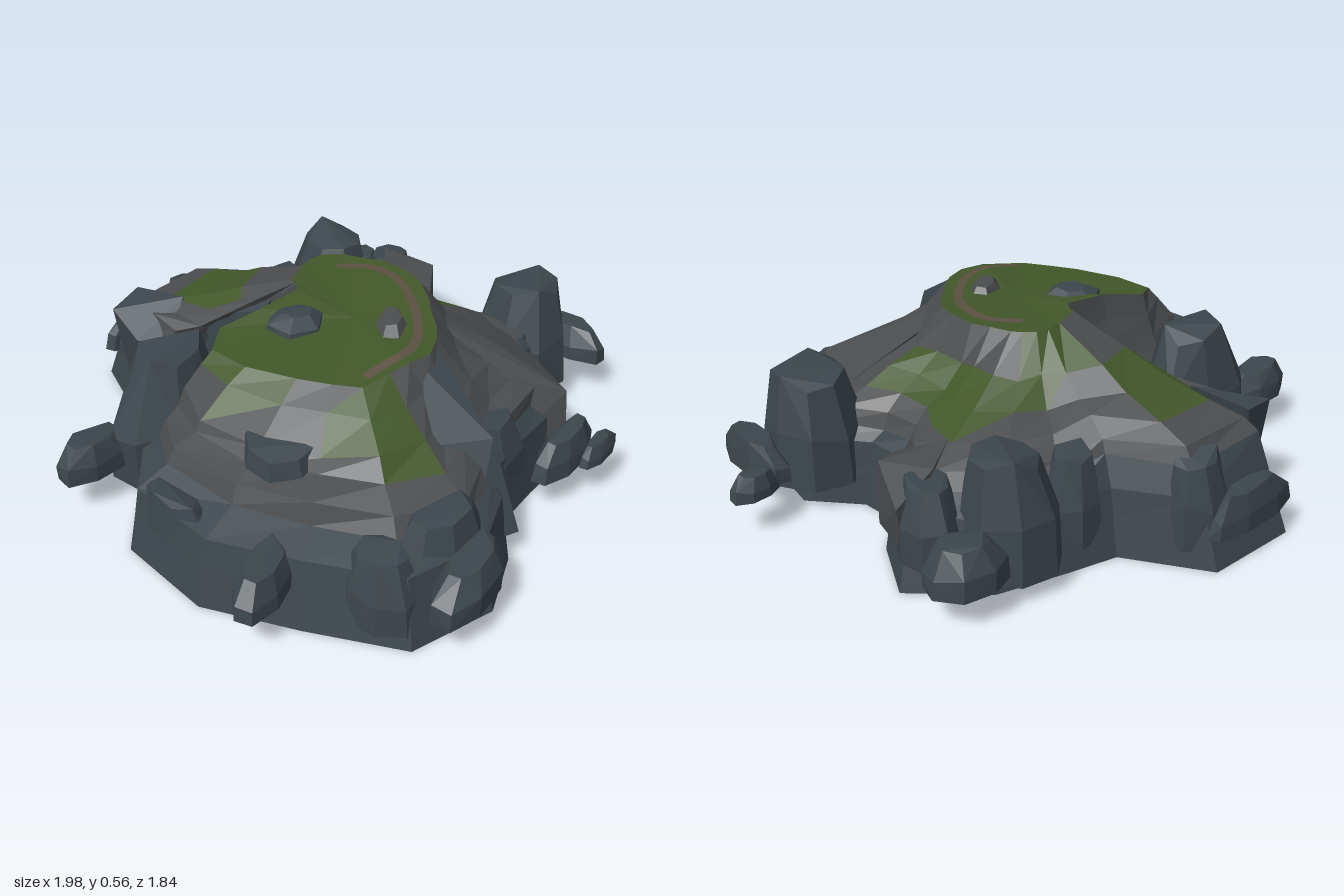
import * as THREE from 'three';
import { ConvexGeometry } from 'three/addons/geometries/ConvexGeometry.js';

const mat = (color) => new THREE.MeshStandardMaterial({ color, flatShading: true, roughness: 1, side: THREE.DoubleSide });
const slate = mat(0x3c464c), stone = mat(0x4b4d4f), grass = mat(0x42572a), earth = mat(0x5c5142);
const V = (x, y, z) => new THREE.Vector3(x, y, z);

let seed = 7;
const rnd = () => (seed = (seed * 16807) % 2147483647) / 2147483647;

function addMesh(group, name, geometry, material) {
  const m = new THREE.Mesh(geometry, material);
  m.name = name;
  group.add(m);
  return m;
}

// Island sectors, clockwise from above: shore x, z and plateau rim x, z
const sectors = [
  [-0.18, -0.9, -0.02, -0.16], [0.14, -0.88, 0.07, -0.19], [0.28, -0.62, 0.13, -0.2],
  [0.45, -0.57, 0.17, -0.19], [0.66, -0.5, 0.2, -0.16], [0.84, -0.3, 0.22, -0.13],
  [0.72, -0.1, 0.24, -0.06], [0.6, 0, 0.26, 0], [0.6, 0.14, 0.25, 0.1],
  [0.72, 0.3, 0.22, 0.18], [0.68, 0.46, 0.16, 0.25], [0.49, 0.49, 0.1, 0.3],
  [0.32, 0.69, 0.04, 0.36], [0.12, 0.69, -0.02, 0.4], [-0.1, 0.7, -0.1, 0.43],
  [-0.2, 0.8, -0.18, 0.41], [-0.42, 0.88, -0.25, 0.39], [-0.69, 0.79, -0.34, 0.36],
  [-0.81, 0.5, -0.38, 0.28], [-0.91, 0.21, -0.42, 0.18], [-0.85, -0.12, -0.46, 0.02],
  [-0.68, -0.25, -0.45, -0.12], [-0.42, -0.26, -0.36, -0.17], [-0.22, -0.2, -0.22, -0.12],
  [-0.06, -0.16, -0.07, -0.1], [-0.1, -0.3, -0.045, -0.125], [-0.16, -0.5, -0.04, -0.135],
  [-0.3, -0.6, -0.035, -0.145], [-0.27, -0.73, -0.03, -0.155],
];
const plateauY = (x, z) => 0.555 - 0.18 * Math.max(0, -x - 0.18) - 0.09 * Math.max(0, z - 0.1);

// Mossy patches on the slopes: x range, z range
const patches = [
  [0.31, 0.54, -0.28, 0.22], [0.1, 0.31, -0.3, -0.18], [-0.5, -0.3, 0.36, 0.62],
  [-0.12, 0.08, -0.72, -0.36], [-0.55, -0.38, -0.1, 0.16],
];
const isMossy = (c) => patches.some(([a, b, d, e]) => c.x > a && c.x < b && c.z > d && c.z < e);

function buildIsland(group) {
  const n = sectors.length;
  // Ring profile: fraction of the way to the plateau, height
  const profile = [[0, 0], [0.06, 0.12], [0.1, 0.21], [0.22, 0.25], [0.27, 0.3], [0.45, 0.335], [0.64, 0.385], [0.84, 0.45], [1, 0]];
  const rings = profile.map(([t, y], k) => sectors.map(([x, z, px, pz]) => {
    const inner = k > 2 && k < 8;
    const lobe = z < -0.4 && x < 0.35;
    const ledge = x < -0.5 && k > 2 && k < 6 ? 0.11 : 0; // wider ledge along the west shore
    const s = (lobe && inner ? t * 0.9 - 0.02 : t) + ledge + (inner ? (rnd() - 0.5) * 0.05 : 0);
    const rx = x + (px - x) * s, rz = z + (pz - z) * s;
    if (k === 8) return V(rx, plateauY(rx, rz), rz);
    const lift = inner && lobe ? 0.055 * (1 - t) + 0.01 : 0;
    return V(rx, y + lift + (inner ? (rnd() - 0.5) * 0.03 : 0), rz);
  }));
  const faces = { cliff: [], slope: [], moss: [] };
  const tri = (k, a, b, c) => {
    const mid = V(0, 0, 0).add(a).add(b).add(c).divideScalar(3);
    const key = k < 3 ? 'cliff' : k > 4 && isMossy(mid) ? 'moss' : 'slope';
    faces[key].push(a, b, c);
  };
  for (let k = 0; k < rings.length - 1; k++) {
    for (let i = 0; i < n; i++) {
      const j = (i + 1) % n, lo = rings[k], up = rings[k + 1];
      tri(k, lo[j], lo[i], up[i]);
      tri(k, lo[j], up[i], up[j]);
    }
  }
  // Grassy plateau closing the top, slightly dished
  const rim = rings[8], centre = V(-0.06, 0.528, 0.12);
  for (let i = 0; i < n; i++) faces.moss.push(centre, rim[(i + 1) % n], rim[i]);
  const materials = { cliff: slate, slope: stone, moss: grass };
  for (const key in faces) addMesh(group, key, new THREE.BufferGeometry().setFromPoints(faces[key]), materials[key]).geometry.computeVertexNormals();
  // Flat underside
  const under = new THREE.ShapeGeometry(new THREE.Shape(sectors.map(([x, z]) => new THREE.Vector2(x, z))));
  under.rotateX(Math.PI / 2);
  addMesh(group, 'underside', under, slate);
}

// Faceted flat-bottomed rock made from three jittered rings
function rock(group, name, [x, z, w, d, y0, y1, rot = 0, top = 0.62], material = slate, sides = 8) {
  const points = [], c = Math.cos(rot), s = Math.sin(rot);
  const lean = (rnd() - 0.5) * 0.15;
  for (const [h, r] of [[0, 1], [0.5, 0.95], [1, top]]) {
    for (let i = 0; i < sides; i++) {
      const a = (i + 0.5) / sides * Math.PI * 2, q = r * (1.04 - rnd() * 0.1);
      const u = Math.cos(a) * q * w / 2 + (h === 1 ? lean * w : 0), v = Math.sin(a) * q * d / 2;
      const y = y0 + (y1 - y0) * (h - (h ? rnd() * 0.16 : 0));
      points.push(V(x + u * c - v * s, y, z + u * s + v * c));
    }
  }
  addMesh(group, name, new ConvexGeometry(points), material);
}

// Buttress running from the plateau down to the shore
function spur(group, points, material) {
  addMesh(group, 'spur', new ConvexGeometry(points.map((p) => V(...p))), material);
}

export function createModel() {
  const group = new THREE.Group();
  group.name = 'rockyIsland';
  buildIsland(group);

  // Front buttresses
  spur(group, [[0.1, 0.51, 0.29], [0.18, 0.5, 0.22], [0.07, 0.4, 0.44], [0.24, 0.42, 0.42], [0.3, 0.09, 0.71], [0.5, 0.3, 0.36], [0.5, 0.09, 0.45], [0.05, 0.09, 0.58], [0.32, 0.28, 0.68]], stone);
  spur(group, [[-0.04, 0.51, 0.42], [-0.14, 0.5, 0.43], [-0.3, 0.36, 0.56], [-0.17, 0.09, 0.81], [-0.32, 0.09, 0.74], [-0.03, 0.09, 0.66], [-0.15, 0.36, 0.69], [-0.06, 0.38, 0.56]], slate);
  // East and back buttresses
  spur(group, [[0.55, 0.34, -0.2], [0.74, 0.31, -0.11], [0.6, 0.26, -0.03], [0.83, 0.26, -0.29], [0.7, 0.34, -0.3], [0.74, 0.1, -0.1], [0.8, 0.1, -0.28]], stone);
  spur(group, [[-0.15, 0.37, -0.47], [-0.05, 0.4, -0.48], [-0.03, 0.5, -0.21], [-0.11, 0.46, -0.21], [-0.13, 0.1, -0.3], [-0.04, 0.1, -0.3]], slate);
  spur(group, [[-0.28, 0.36, -0.74], [-0.14, 0.38, -0.76], [-0.31, 0.3, -0.6], [-0.12, 0.4, -0.56], [-0.24, 0.28, -0.52], [-0.28, 0.05, -0.6], [-0.2, 0.05, -0.5], [-0.24, 0.05, -0.72]], slate);

  // Large boulders: x, z, width, depth, bottom, top, turn, top size
  const boulders = [
    [-0.455, -0.325, 0.46, 0.32, 0.04, 0.46, 0, 0.55], [0.64, 0.33, 0.33, 0.35, 0.08, 0.45, 0.3, 0.7],
    [0.56, -0.45, 0.3, 0.34, 0.06, 0.43, 0.2, 0.68], [-0.55, 0.23, 0.27, 0.27, 0.22, 0.4, 0, 0.8],
    [-0.44, 0.71, 0.36, 0.25, 0.06, 0.32, 0.1], [0.02, 0.57, 0.28, 0.24, 0.08, 0.33],
    [-0.65, 0.65, 0.2, 0.26, 0.04, 0.28], [0.72, -0.3, 0.2, 0.24, 0.08, 0.34, 0.6],
    [-0.78, 0.03, 0.16, 0.36, 0.05, 0.26, 0.15], [0.08, -0.75, 0.24, 0.2, 0.05, 0.34],
    [0.35, -0.5, 0.2, 0.18, 0.06, 0.36], [0.43, 0.42, 0.18, 0.18, 0.08, 0.31],
  ];
  boulders.forEach((b) => rock(group, 'boulder', b));

  // Small rocks ringing the shore
  const shore = [
    [-0.71, -0.4, 0.29, 0.16, 0.11, 0.23, 0.05], [-0.84, 0.4, 0.33, 0.15, 0.12, 0.23, -0.3],
    [-0.5, 0.84, 0.36, 0.16, 0.1, 0.24, -0.1], [0.2, 0.75, 0.33, 0.12, 0.11, 0.23],
    [0.28, 0.83, 0.21, 0.07, 0.12, 0.19], [0.8, 0.42, 0.13, 0.36, 0.12, 0.24, 0.1],
    [0.915, 0.27, 0.17, 0.1, 0.12, 0.2], [0.77, -0.5, 0.26, 0.2, 0.1, 0.24, 0.3],
    [-0.02, -0.87, 0.38, 0.1, 0.11, 0.24],
  ];
  shore.forEach((r) => rock(group, 'shoreRock', r));

  // Outcrops on the plateau
  rock(group, 'plateauRock', [-0.19, -0.01, 0.2, 0.19, 0.51, 0.562, 0, 0.5], slate, 6);
  rock(group, 'plateauRock', [-0.03, 0.24, 0.21, 0.11, 0.5, 0.56, -0.6, 0.6], stone, 6);

  // Worn path along the rim
  const path = new THREE.CatmullRomCurve3([[0.14, -0.1], [0.2, 0], [0.18, 0.12], [0.08, 0.25], [-0.1, 0.37], [-0.3, 0.34]].map(([x, z]) => V(x, 0, z)));
  const strip = new THREE.PlaneGeometry(1, 1, 16, 1), pos = strip.attributes.position;
  for (let i = 0; i < pos.count; i++) {
    const t = pos.getX(i) + 0.5, p = path.getPoint(t), q = path.getTangent(t), o = pos.getY(i) * 0.03;
    const x = p.x - q.z * o, z = p.z + q.x * o;
    pos.setXYZ(i, x, plateauY(x, z) + 0.001, z);
  }
  strip.computeVertexNormals();
  addMesh(group, 'rimPath', strip, earth);
  return group;
}
